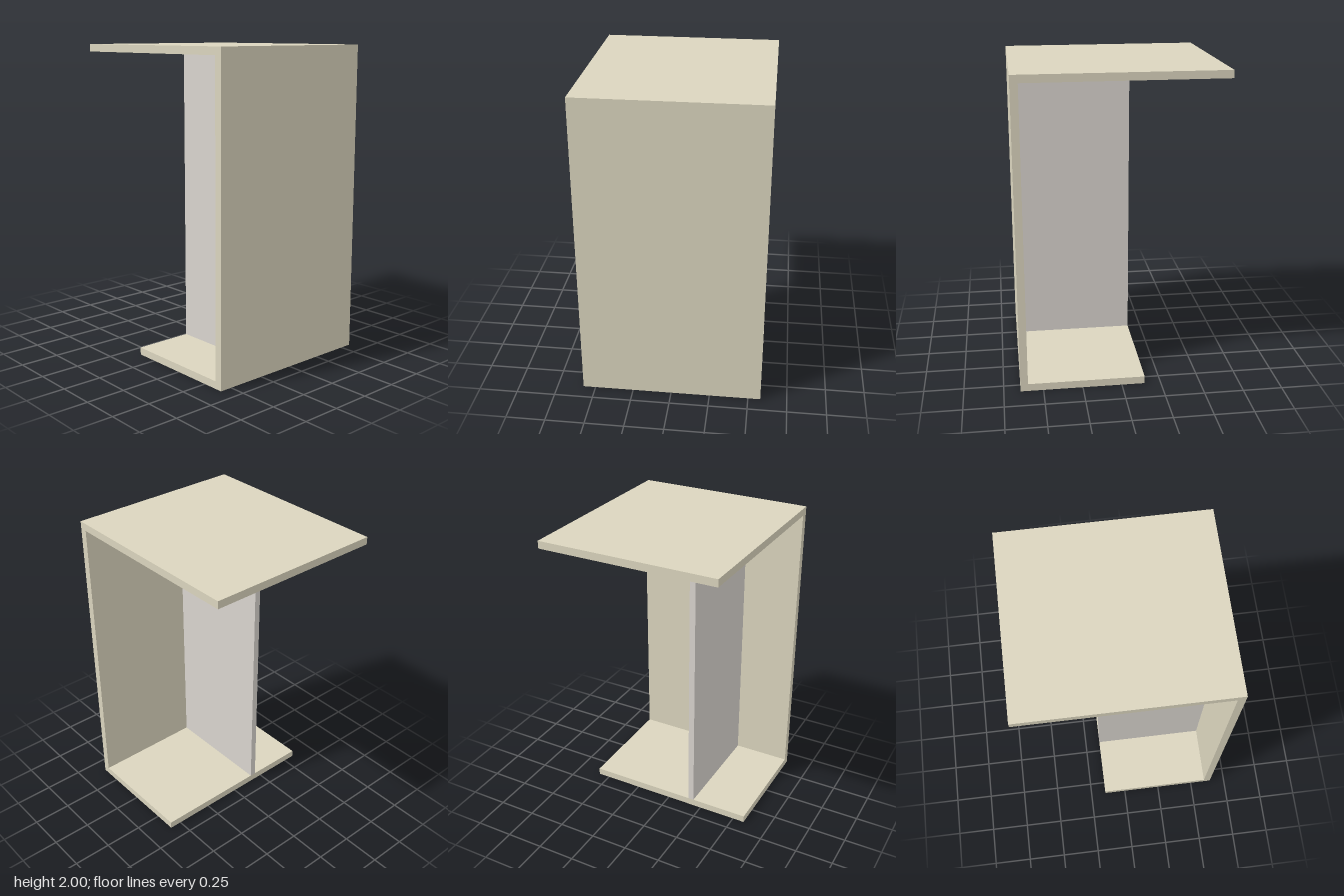
import * as THREE from 'three';

export function createModel() {
  const model = new THREE.Group();
  model.name = 'sideTable';
  const board = new THREE.MeshStandardMaterial({ color: 0xdbd5be });
  const infill = new THREE.MeshStandardMaterial({ color: 0xdad5cf });

  const right = -0.645, left = 0.645, footEnd = -0.147; // x extents
  const t = 0.048, halfDepth = 0.58, height = 2;

  // Sideways profile pulled along z
  const addExtrusion = (name, points, z0, z1, material) => {
    const shape = new THREE.Shape(points.map(([x, y]) => new THREE.Vector2(x, y)));
    const geometry = new THREE.ExtrudeGeometry(shape, { depth: z1 - z0, bevelEnabled: false });
    geometry.translate(0, 0, z0);
    const mesh = new THREE.Mesh(geometry, material);
    mesh.name = name;
    model.add(mesh);
  };

  // One continuous C-shaped frame: short base, side wall and long top
  addExtrusion('frame', [
    [footEnd, 0], [left, 0], [left, height], [right, height],
    [right, height - t], [left - t, height - t], [left - t, t], [footEnd, t],
  ], -halfDepth, halfDepth, board);

  // Upright stiffening panel between base and top
  addExtrusion('supportPanel', [
    [footEnd, t], [left - t, t], [left - t, height - t], [footEnd, height - t],
  ], 0.155, 0.195, infill);

  return model;
}
